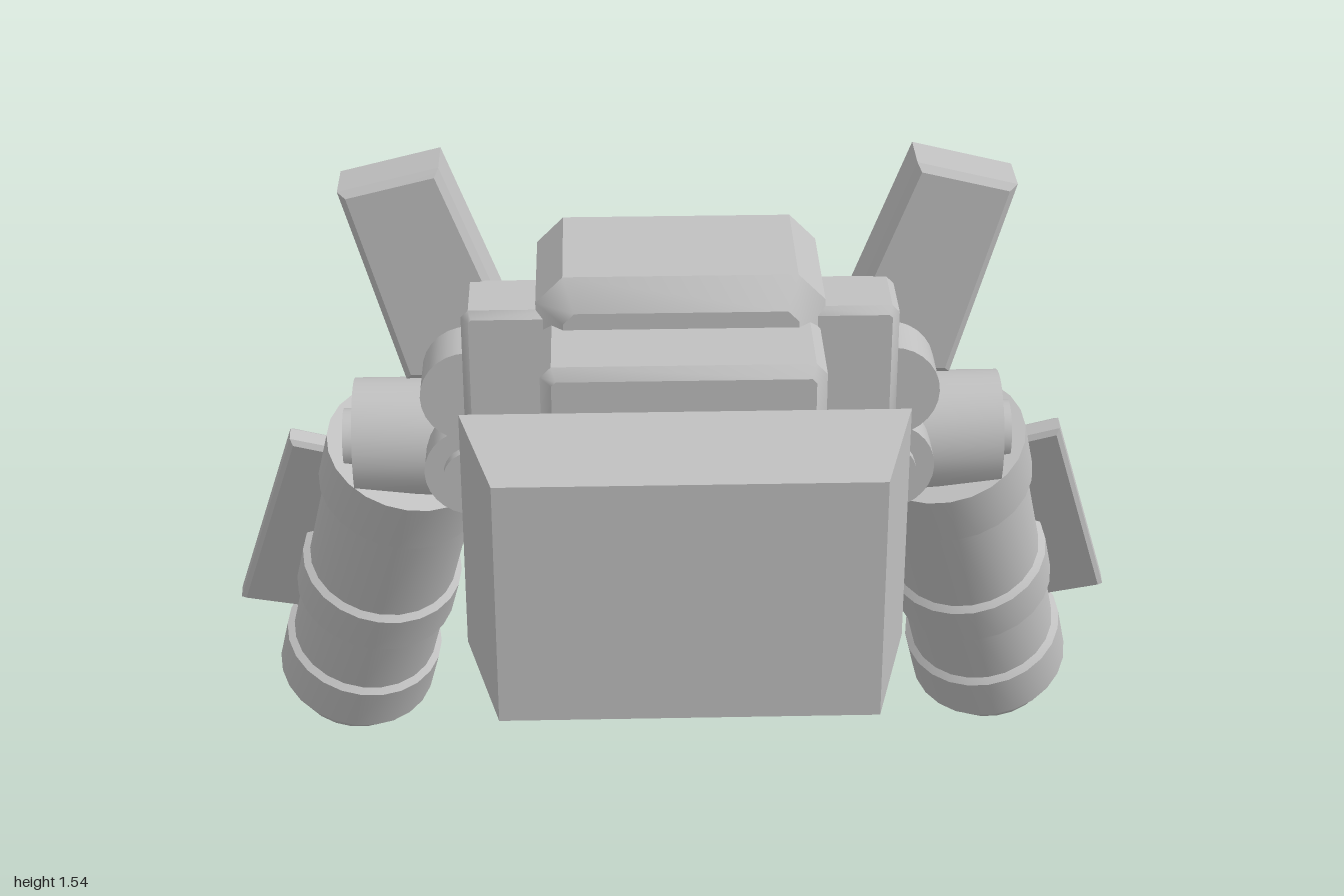
import * as THREE from 'three';
import { toCreasedNormals } from 'three/addons/utils/BufferGeometryUtils.js';

const grey = new THREE.MeshStandardMaterial({ color: 0xc0c0c0, side: THREE.DoubleSide });
grey.name = 'light grey';

function add(parent, name, geometry, x = 0, y = 0, z = 0) {
  const mesh = new THREE.Mesh(toCreasedNormals(geometry, 0.55), grey);
  mesh.name = name;
  mesh.position.set(x, y, z);
  parent.add(mesh);
  return mesh;
}

// Outline in x and y, extruded from z0 to z1 with chamfered rims inside the outline
function plate(points, z0, z1, c) {
  const shape = new THREE.Shape(points.map(p => new THREE.Vector2(...p)));
  return new THREE.ExtrudeGeometry(shape, {
    depth: z1 - z0 - 2 * c, bevelEnabled: c > 0, bevelThickness: c,
    bevelSize: c, bevelOffset: -c, bevelSegments: 1,
  }).translate(0, 0, z0 + c);
}

// Box given by its limits, with all edges chamfered
function chamferBox(x0, x1, y0, y1, z0, z1, c) {
  return plate([
    [x0 + c, y0], [x1 - c, y0], [x1, y0 + c], [x1, y1 - c],
    [x1 - c, y1], [x0 + c, y1], [x0, y1 - c], [x0, y0 + c],
  ], z0, z1, c);
}

const lathe = (profile, n = 24) =>
  new THREE.LatheGeometry(profile.map(p => new THREE.Vector2(...p)), n);
const zCylinder = (r, z0, z1) =>
  new THREE.CylinderGeometry(r, r, z1 - z0, 28).rotateX(Math.PI / 2).translate(0, 0, (z0 + z1) / 2);

function buildSide() {
  const side = new THREE.Group();

  // Shoulder plate with two joints running front to back
  add(side, 'shoulderPlate', chamferBox(0.22, 0.44, 0.86, 1.3, -0.1, 0.07, 0.015));
  add(side, 'upperJoint', zCylinder(0.1, -0.16, 0.045), 0.43, 1.1);
  add(side, 'lowerJoint', zCylinder(0.1, -0.24, 0.015), 0.43, 0.91);
  add(side, 'jointFrontCap', zCylinder(0.06, 0, 0.04), 0.43, 0.91);
  add(side, 'jointRearCap', zCylinder(0.075, -0.28, -0.22), 0.405, 0.91);

  // Upright wing
  add(side, 'wing', plate(
    [[0.32, 1.13], [0.4, 1.08], [0.565, 1.075], [0.685, 1.495], [0.48, 1.545]],
    -0.215, -0.08, 0.014));

  // Hollow-ended arm along x
  const arm = lathe([[0, -0.17], [0.13, -0.17], [0.13, 0.17], [0.105, 0.17], [0.105, 0.14], [0, 0.14]], 28);
  add(side, 'arm', arm.rotateZ(-Math.PI / 2), 0.515, 0.89, -0.18);
  add(side, 'armEndCap', new THREE.CylinderGeometry(0.065, 0.065, 0.08, 24).rotateZ(Math.PI / 2), 0.67, 0.89, -0.18);

  // Sloping booster leg with three raised bands and a domed tip
  const leg = new THREE.Group();
  leg.name = 'boosterLeg';
  const up = new THREE.Vector3(-0.235, 1, 0.39).normalize();
  const out = new THREE.Vector3(1, 0, 0).addScaledVector(up, -up.x).normalize();
  const front = new THREE.Vector3().crossVectors(out, up);
  leg.quaternion.setFromRotationMatrix(new THREE.Matrix4().makeBasis(out, up, front));
  leg.position.set(0.573, 0.86, -0.2);
  side.add(leg);
  const dome = [];
  for (let i = 0; i <= 6; i++) {
    const a = i / 6 * Math.PI / 2;
    dome.push([0.165 * Math.sin(a), -0.8 - 0.12 * Math.cos(a)]);
  }
  add(leg, 'legBarrel', lathe([
    ...dome, [0.18, -0.8], [0.18, -0.68], [0.165, -0.67], [0.165, -0.505],
    [0.18, -0.5], [0.18, -0.4], [0.165, -0.39], [0.165, -0.135],
    [0.18, -0.13], [0.18, 0], [0, 0],
  ]));
  add(leg, 'legFin', plate(
    [[0.14, -0.68], [0.29, -0.676], [0.25, -0.098], [0.14, -0.11]], -0.1, -0.05, 0.01));

  // Hip block and tilted thruster
  add(side, 'hipBlock', chamferBox(0.12, 0.36, 0.61, 0.79, -0.15, 0.085, 0.025));
  const thruster = new THREE.Group();
  thruster.name = 'thruster';
  thruster.position.set(0.24, 0.61, -0.03);
  thruster.rotation.x = 0.29;
  side.add(thruster);
  add(thruster, 'thrusterMount', new THREE.CylinderGeometry(0.125, 0.125, 0.11, 24), 0, 0.17, 0);
  add(thruster, 'nozzle', lathe([
    [0, -0.06], [0.07, -0.06], [0.135, -0.26], [0.15, -0.27], [0.155, -0.255],
    [0.148, -0.19], [0.132, -0.1], [0.11, -0.03], [0.095, 0.01], [0, 0.03],
  ], 28));
  return side;
}

export function createModel() {
  const model = new THREE.Group();
  model.name = 'flightPack';

  // Body and chest block
  add(model, 'body', chamferBox(-0.29, 0.29, 0.635, 1.37, -0.295, 0.11, 0.055));
  add(model, 'chest', chamferBox(-0.28, 0.28, 0.67, 1.28, 0.05, 0.295, 0.022));

  // Detached front block, narrowing towards the front
  const block = new THREE.BoxGeometry(0.87, 0.51, 0.29);
  const p = block.attributes.position;
  for (let i = 0; i < p.count; i++) if (p.getZ(i) > 0) p.setX(i, p.getX(i) * 0.84);
  add(model, 'frontBlock', block, 0, 0.975, 0.515);

  // Round rear vent
  add(model, 'rearRing', zCylinder(0.16, -0.345, -0.28), 0, 1.105);
  add(model, 'rearDisc', zCylinder(0.115, -0.38, -0.33), 0, 1.105);

  // Rear hatch with side pipes and studs
  add(model, 'rearHatch', plate([[-0.12, 0.72], [0.12, 0.72], [0.1, 1], [-0.1, 1]], -0.303, -0.28, 0.005));
  for (const s of [-1, 1]) {
    const path = new THREE.LineCurve3(
      new THREE.Vector3(s * 0.14, 0.74, -0.3), new THREE.Vector3(s * 0.13, 0.97, -0.3));
    add(model, 'hatchPipe', new THREE.TubeGeometry(path, 1, 0.008, 8));
    for (const y of [0.74, 0.95]) add(model, 'hatchStud', zCylinder(0.015, -0.315, -0.28), s * 0.137, y);
  }

  // Mirrored sides
  const left = buildSide();
  left.name = 'leftSide';
  const right = buildSide();
  right.name = 'rightSide';
  right.scale.x = -1;
  model.add(left, right);
  return model;
}
